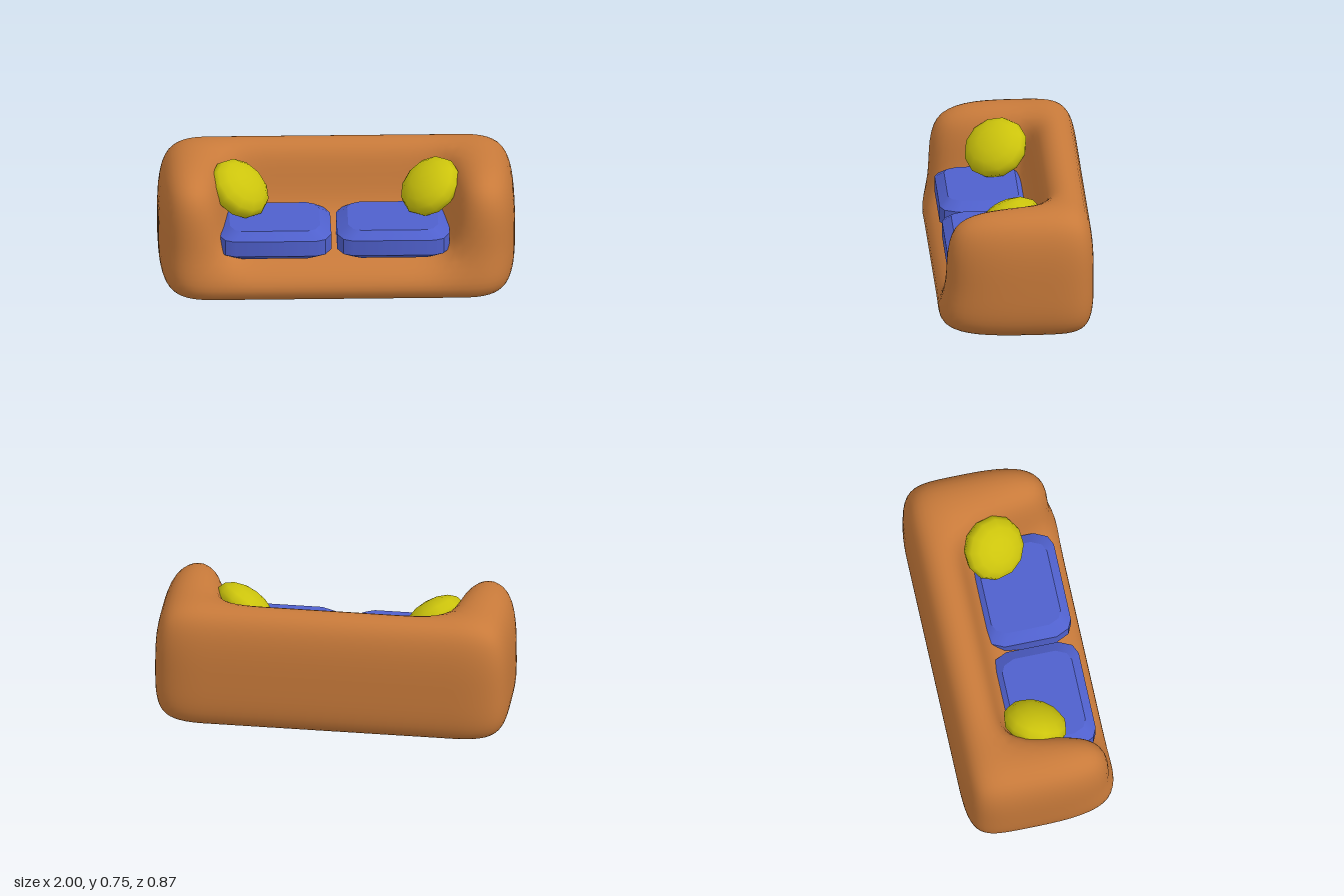
import * as THREE from 'three';
import { toCreasedNormals, mergeVertices } from 'three/addons/utils/BufferGeometryUtils.js';
import { ConvexGeometry } from 'three/addons/geometries/ConvexGeometry.js';

const mat = (color) => new THREE.MeshStandardMaterial({ color });

// One Catmull-Clark step on a closed mesh of quads
function subdivide({ verts, quads }) {
  const out = verts.map(() => new THREE.Vector3());
  const edges = new Map();
  const faceSum = verts.map(() => new THREE.Vector3());
  const edgeSum = verts.map(() => new THREE.Vector3());
  const valence = verts.map(() => 0);
  const key = (a, b) => (a < b ? a + '_' + b : b + '_' + a);
  const centres = quads.map((q) => {
    const c = new THREE.Vector3();
    q.forEach((i) => c.addScaledVector(verts[i], 0.25));
    q.forEach((a, n) => {
      const b = q[(n + 1) % 4], k = key(a, b);
      faceSum[a].add(c);
      valence[a]++;
      if (!edges.has(k)) edges.set(k, { a, b, sum: new THREE.Vector3() });
      edges.get(k).sum.add(c);
    });
    return out.push(c) - 1;
  });
  for (const e of edges.values()) {
    const ends = verts[e.a].clone().add(verts[e.b]);
    edgeSum[e.a].addScaledVector(ends, 0.5);
    edgeSum[e.b].addScaledVector(ends, 0.5);
    e.id = out.push(ends.add(e.sum).multiplyScalar(0.25)) - 1;
  }
  verts.forEach((p, i) => {
    const n = valence[i];
    out[i].copy(p).multiplyScalar((n - 3) / n)
      .addScaledVector(faceSum[i], 1 / (n * n))
      .addScaledVector(edgeSum[i], 2 / (n * n));
  });
  const next = [];
  quads.forEach((q, f) => q.forEach((a, n) => {
    const after = edges.get(key(a, q[(n + 1) % 4])).id;
    const before = edges.get(key(a, q[(n + 3) % 4])).id;
    next.push([a, after, centres[f], before]);
  }));
  return { verts: out, quads: next };
}

// Block cage of base, back and two arms; only its outer faces are kept
function bodyCage() {
  const xs = [-1, -0.64, -0.4, 0.4, 0.64, 1];
  const ys = [0, 0.29, 0.76];
  const zs = [-0.435, -0.15, 0.43];
  const frontZ = [0.51, 0.39, 0.445];
  const size = [5, 2, 2];
  const solid = (c) => c.every((v, a) => v >= 0 && v < size[a]) &&
    (c[1] === 0 || c[2] === 0 || c[0] === 0 || c[0] === 4);
  const verts = [], quads = [], ids = new Map();
  const vertex = (g) => {
    const k = g.join();
    if (!ids.has(k)) {
      const z = g[2] === 2 ? frontZ[g[1]] : zs[g[2]];
      ids.set(k, verts.push(new THREE.Vector3(xs[g[0]], ys[g[1]], z)) - 1);
    }
    return ids.get(k);
  };
  for (let i = 0; i < 5; i++) for (let j = 0; j < 2; j++) for (let k = 0; k < 2; k++) {
    const cell = [i, j, k];
    if (!solid(cell)) continue;
    for (let axis = 0; axis < 3; axis++) for (const side of [0, 1]) {
      const beside = [...cell];
      beside[axis] += side ? 1 : -1;
      if (solid(beside)) continue;
      const quad = [[0, 0], [1, 0], [1, 1], [0, 1]].map(([u, v]) => {
        const g = [...cell];
        g[axis] += side;
        g[(axis + 1) % 3] += u;
        g[(axis + 2) % 3] += v;
        return vertex(g);
      });
      quads.push(side ? quad : quad.reverse());
    }
  }
  return { verts, quads };
}

function bodyGeometry() {
  let cage = bodyCage();
  for (let n = 0; n < 3; n++) cage = subdivide(cage);
  const geo = new THREE.BufferGeometry().setFromPoints(cage.verts);
  geo.setIndex(cage.quads.flatMap(([a, b, c, d]) => [a, b, c, a, c, d]));
  geo.computeVertexNormals();
  return geo;
}

// Bevelled seat pad: a twelve-sided outline, narrower at top and bottom
function cushionGeometry() {
  const corner = [[1, 0.6], [0.89, 0.9], [0.72, 1]];
  const layers = [[-0.085, 0.8], [-0.05, 1], [0.04, 1], [0.083, 0.8]];
  const points = [];
  for (const [y, s] of layers) for (const [x, z] of corner)
    for (const sx of [-1, 1]) for (const sz of [-1, 1])
      points.push(new THREE.Vector3(sx * x * s * 0.315, y, sz * z * s * 0.248));
  return toCreasedNormals(new ConvexGeometry(points), 0.5);
}

export function createModel() {
  const group = new THREE.Group();
  const add = (name, geo, material) => {
    const mesh = new THREE.Mesh(geo, material);
    mesh.name = name;
    group.add(mesh);
    return mesh;
  };

  // Upholstered body
  add('sofaBody', bodyGeometry(), mat(0xc87a3a));

  // Seat cushions
  const blue = mat(0x4f60cc), pad = cushionGeometry();
  add('rightSeatCushion', pad, blue).position.set(-0.35, 0.357, 0.127);
  add('leftSeatCushion', pad, blue).position.set(0.312, 0.357, 0.127);

  // Round throw pillows leaning into the corners
  const yellow = mat(0xccc40c);
  const round = new THREE.SphereGeometry(1, 12, 8).scale(0.185, 0.105, 0.185);
  for (const [name, side, x, z] of [['rightPillow', -1, -0.544, 0.035], ['leftPillow', 1, 0.525, 0.028]]) {
    const pillow = add(name, round, yellow);
    pillow.position.set(x, 0.575, z);
    const facing = new THREE.Vector3(-side * 0.55, 0.74, 0.39).normalize();
    pillow.quaternion.setFromUnitVectors(new THREE.Vector3(0, 1, 0), facing);
  }
  return group;
}
